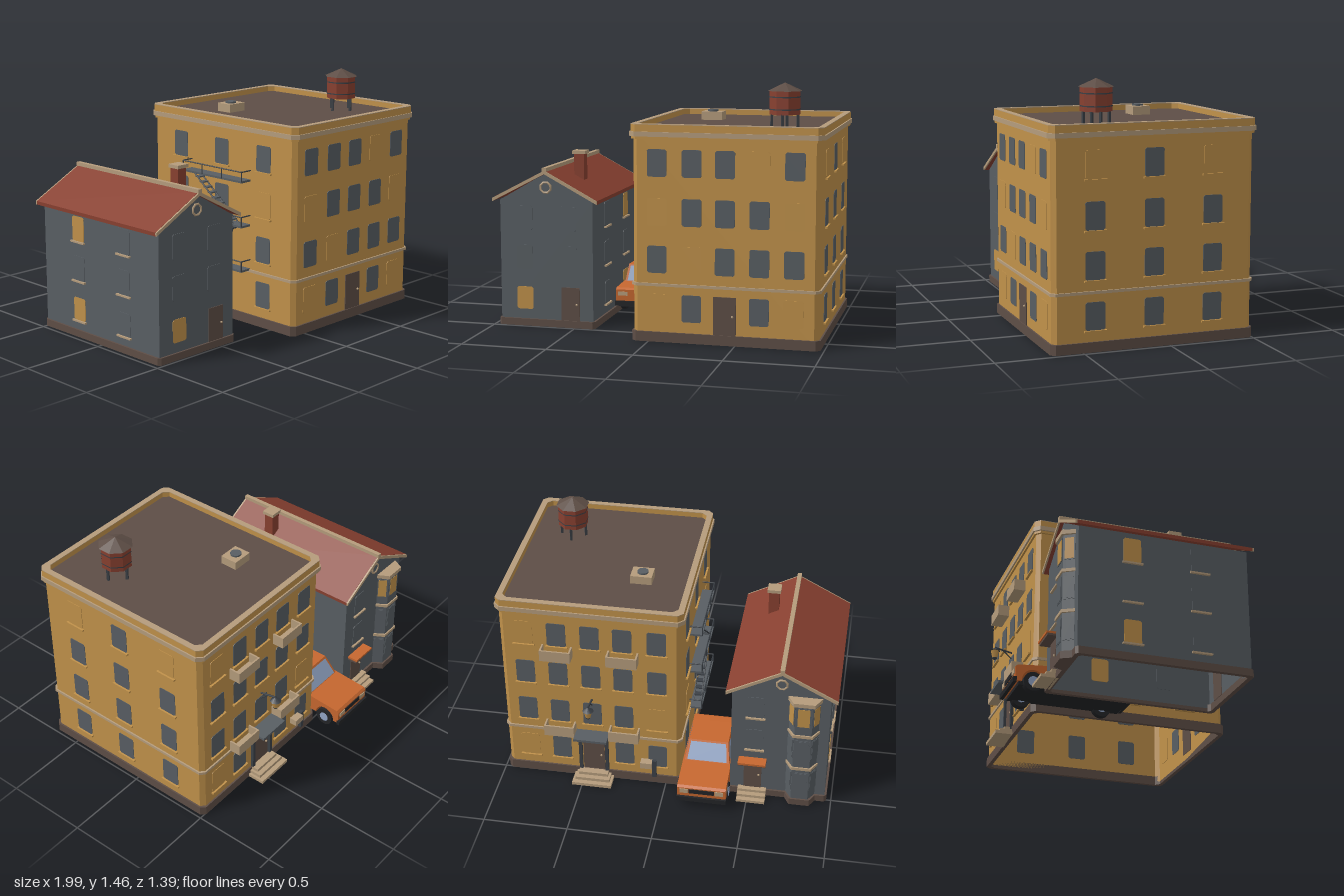
import * as THREE from 'three';

const mat = (name, color) => new THREE.MeshStandardMaterial({ name, color, side: THREE.DoubleSide });
const M = {
  ochre: mat('ochre', 0xc0914a), slate: mat('slate', 0x585e63), brown: mat('brown', 0x5e4e46),
  red: mat('brickRed', 0x884030), stone: mat('stone', 0xb59c7c), orange: mat('orange', 0xc6672f),
  black: mat('black', 0x232427), glass: mat('paleGlass', 0x93a6c6), iron: mat('iron', 0x3c4147),
};

function add(parent, name, geo, m, x = 0, y = 0, z = 0) {
  const mesh = new THREE.Mesh(geo, m);
  mesh.name = name;
  mesh.position.set(x, y, z);
  parent.add(mesh);
  return mesh;
}
const box = (p, name, m, x0, x1, y0, y1, z0, z1) =>
  add(p, name, new THREE.BoxGeometry(x1 - x0, y1 - y0, z1 - z0), m, (x0 + x1) / 2, (y0 + y1) / 2, (z0 + z1) / 2);
const group = (p, name) => { const g = new THREE.Group(); g.name = name; p.add(g); return g; };
const poly = (pts) => new THREE.Shape(pts.map(([a, b]) => new THREE.Vector2(a, b)));
const extrude = (shape, depth) => new THREE.ExtrudeGeometry(shape, { depth, bevelEnabled: false, curveSegments: 10 });

// Round bar between two points
function bar(p, name, m, a, b, r) {
  const A = new THREE.Vector3(...a), B = new THREE.Vector3(...b), d = B.clone().sub(A);
  const mesh = add(p, name, new THREE.CylinderGeometry(r, r, d.length(), 6), m);
  mesh.position.copy(A).add(B).multiplyScalar(0.5);
  mesh.quaternion.setFromUnitVectors(new THREE.Vector3(0, 1, 0), d.normalize());
}

// Horizontal slab, or a ring when t > 0, with chamfered corners
const plan = (x0, x1, z0, z1, c) => [[x0 + c, -z0], [x1 - c, -z0], [x1, -z0 - c], [x1, -z1 + c],
  [x1 - c, -z1], [x0 + c, -z1], [x0, -z1 + c], [x0, -z0 - c]];
function slab(p, name, m, pts, y0, y1, hole) {
  const s = poly(pts);
  if (hole) s.holes.push(poly(hole));
  add(p, name, extrude(s, y1 - y0), m, 0, y0, 0).rotation.x = -Math.PI / 2;
}
function ring(p, name, m, [x0, x1, z0, z1], o, t, y0, y1, c = 0.025) {
  slab(p, name, m, plan(x0 - o, x1 + o, z0 - o, z1 + o, c), y0, y1,
    plan(x0 - o + t, x1 + o - t, z0 - o + t, z1 + o - t, c));
}

// Group lying on one wall: local z points outwards, "along" is world x or z
function onWall(p, name, [x0, x1, z0, z1], side, along) {
  const g = group(p, name);
  if (side === 'front') g.position.set(along, 0, z1);
  if (side === 'back') { g.position.set(along, 0, z0); g.rotation.y = Math.PI; }
  if (side === 'right') { g.position.set(x1, 0, along); g.rotation.y = Math.PI / 2; }
  if (side === 'left') { g.position.set(x0, 0, along); g.rotation.y = -Math.PI / 2; }
  return g;
}
function windowAt(p, rect, side, along, y0, y1, w, m, sill) {
  const g = onWall(p, 'window', rect, side, along), c = 0.009, h = w / 2;
  add(g, 'pane', extrude(poly([[-h + c, y0], [h - c, y0], [h, y0 + c], [h, y1 - c], [h - c, y1],
    [-h + c, y1], [-h, y1 - c], [-h, y0 + c]]), 0.02), m, 0, 0, -0.017);
  if (sill) box(g, 'sill', sill, -h - 0.008, h + 0.008, y0 - 0.01, y0, 0, 0.014);
}
function doorAt(p, rect, side, along, y0, y1, w) {
  const g = onWall(p, 'door', rect, side, along);
  box(g, 'doorLeaf', M.brown, -w / 2, w / 2, y0, y1, -0.017, 0.005);
  add(g, 'doorKnob', new THREE.SphereGeometry(0.007, 8, 6), M.stone, w * 0.35, (y0 + y1) / 2, 0.009);
}

function apartment(root) {
  const g = group(root, 'apartmentBlock'), R = [-0.09, 0.97, -0.497, 0.672];
  ring(g, 'walls', M.ochre, R, 0, 0.014, 0.02, 1.195);
  ring(g, 'plinth', M.brown, R, 0.01, 0.024, 0, 0.057);
  ring(g, 'floorBand', M.stone, R, 0.009, 0.01, 0.32, 0.336);
  ring(g, 'cornice', M.stone, R, 0.022, 0.03, 1.165, 1.192, 0.035);
  ring(g, 'corniceFoot', M.ochre, R, 0.012, 0.02, 1.15, 1.165, 0.03);
  ring(g, 'parapet', M.ochre, R, 0.014, 0.035, 1.192, 1.231, 0.03);
  ring(g, 'coping', M.stone, R, 0.014, 0.035, 1.231, 1.235, 0.03);
  slab(g, 'roof', M.brown, plan(-0.085, 0.965, -0.49, 0.665, 0.025), 1.185, 1.2);
  // Windows: lit ones are listed as row,column
  const rows = [0.12, 0.395, 0.665, 0.94], cols = [0.05, 0.25, 0.44, 0.635, 0.83], zs = [0.43, 0.09, -0.255];
  const lit = { front: ['0,0', '0,4', '1,1', '2,0', '2,4', '3,3'], back: ['0,4', '1,0', '3,4'],
    right: ['3,0', '3,2'], left: ['1,2', '2,0'] };
  for (const side of ['front', 'back', 'right', 'left']) {
    const ends = side === 'front' || side === 'back';
    rows.forEach((y, r) => (ends ? cols : zs).forEach((a, c) => {
      if (ends && r === 0 && c === 2) return doorAt(g, R, side, a, 0.057, 0.275, 0.13);
      windowAt(g, R, side, a, y, y + 0.155, 0.112, lit[side].includes(r + ',' + c) ? M.ochre : M.slate,
        side === 'front' ? null : M.ochre);
    }));
  }
  // Balconies with solid fronts
  for (const x of [0.245, 0.633]) for (const y of [0.33, 0.875]) {
    const b = group(g, 'balcony');
    box(b, 'balconyFloor', M.stone, x - 0.09, x + 0.09, y, y + 0.012, -0.568, -0.49);
    box(b, 'balconyFront', M.stone, x - 0.09, x + 0.09, y, y + 0.07, -0.568, -0.558);
    for (const s of [-1, 1]) box(b, 'balconySide', M.stone, x + s * 0.085 - 0.005, x + s * 0.085 + 0.005, y, y + 0.07, -0.568, -0.49);
  }
  // Rear entrance: canopy, posts, steps and lantern
  box(g, 'canopy', M.slate, 0.34, 0.54, 0.33, 0.345, -0.6, -0.49);
  for (const s of [-1, 1]) box(g, 'doorPost', M.iron, 0.44 + s * 0.08 - 0.01, 0.44 + s * 0.08 + 0.01, 0.04, 0.33, -0.515, -0.49);
  [0.61, 0.58, 0.55].forEach((z, i) => box(g, 'step', M.stone, 0.32 + i * 0.015, 0.56 - i * 0.015, i * 0.019, i * 0.019 + 0.019, -z, -0.49));
  bar(g, 'lanternArm', M.iron, [0.44, 0.575, -0.49], [0.44, 0.6, -0.605], 0.006);
  bar(g, 'lanternBrace', M.iron, [0.44, 0.53, -0.49], [0.44, 0.585, -0.55], 0.004);
  add(g, 'lanternCap', new THREE.ConeGeometry(0.034, 0.025, 8), M.iron, 0.44, 0.588, -0.605);
  add(g, 'lanternGlass', new THREE.CylinderGeometry(0.026, 0.016, 0.045, 6), M.ochre, 0.44, 0.553, -0.605);
  add(g, 'lanternBase', new THREE.CylinderGeometry(0.016, 0.012, 0.01, 6), M.iron, 0.44, 0.526, -0.605);
  // Small wall box
  box(g, 'wallBox', M.stone, 0.08, 0.15, 0.13, 0.17, -0.545, -0.49);
  box(g, 'wallBoxBracket', M.iron, 0.055, 0.08, 0.06, 0.18, -0.53, -0.51);
  // Fire escape: platforms, railings and flights
  const f = group(g, 'fireEscape'), px = -0.165;
  [0.335, 0.605, 0.875].forEach((y, i) => {
    box(f, 'platform', M.slate, px, -0.085, y - 0.006, y + 0.006, -0.165, 0.325);
    bar(f, 'handrail', M.iron, [px, y + 0.06, -0.165], [px, y + 0.06, 0.325], 0.004);
    for (const z of [-0.165, -0.0017, 0.1617, 0.325]) bar(f, 'railPost', M.iron, [px, y, z], [px, y + 0.06, z], 0.004);
    for (const z of [-0.165, 0.325]) bar(f, 'endRail', M.iron, [px, y + 0.06, z], [-0.09, y + 0.06, z], 0.004);
    if (i === 2) return;
    const s = i ? -1 : 1;
    for (const x of [-0.15, -0.105]) bar(f, 'stringer', M.iron, [x, y, 0.08 - s * 0.17], [x, y + 0.27, 0.08 + s * 0.17], 0.005);
    for (let k = 1; k < 10; k++) {
      const z = 0.08 + s * (-0.17 + k * 0.034);
      box(f, 'tread', i ? M.slate : M.iron, -0.15, -0.105, y + k * 0.027 - 0.004, y + k * 0.027 + 0.004, z - 0.016, z + 0.016);
    }
  });
  // Roof vent and water tank
  box(g, 'ventBase', M.stone, 0.135, 0.262, 1.2, 1.25, -0.168, -0.062);
  add(g, 'ventFan', new THREE.CylinderGeometry(0.033, 0.033, 0.012, 12), M.slate, 0.195, 1.254, -0.115);
  const t = group(g, 'waterTank');
  t.position.set(0.71, 0, 0.33);
  t.rotation.y = Math.PI / 8;
  add(t, 'tankBody', new THREE.CylinderGeometry(0.09, 0.09, 0.135, 8).toNonIndexed(), M.red, 0, 1.343, 0).geometry.computeVertexNormals();
  const cone = add(t, 'tankRoof', new THREE.ConeGeometry(0.101, 0.047, 8).toNonIndexed(), M.brown, 0, 1.432, 0);
  cone.geometry.computeVertexNormals();
  for (const y of [1.305, 1.375]) add(t, 'tankHoop', new THREE.CylinderGeometry(0.092, 0.092, 0.007, 8, 1, true), M.iron, 0, y, 0);
  for (let i = 0; i < 4; i++) {
    const a = Math.PI / 8 + i * Math.PI / 2;
    box(t, 'tankLeg', M.iron, -0.007, 0.007, 1.195, 1.28, -0.007, 0.007).position.set(0.075 * Math.cos(a), 1.2375, 0.075 * Math.sin(a));
  }
}

function house(root) {
  const g = group(root, 'house'), R = [-0.96, -0.39, -0.505, 0.475], cx = -0.675;
  const gable = [[-0.96, 0.02], [-0.39, 0.02], [-0.39, 0.75], [cx, 0.915], [-0.96, 0.75]];
  for (const z of [-0.505, 0.461]) add(g, 'gableWall', extrude(poly(gable), 0.014), M.slate, 0, 0, z);
  for (const x of [-0.96, -0.404]) box(g, 'sideWall', M.slate, x, x + 0.014, 0.02, 0.752, -0.5, 0.47);
  ring(g, 'plinth', M.brown, R, 0.012, 0.026, 0, 0.042, 0.015);
  // Roof, verges and ridge
  const roofShape = (t) => poly([[-1, 0.742], [cx, 0.93 - 0.018], [-0.355, 0.742], [-0.355, 0.742 + t], [cx, 0.912 + t], [-1, 0.742 + t]]);
  add(g, 'roof', extrude(roofShape(0.021), 1.02), M.red, 0, 0, -0.525);
  for (const z of [-0.535, 0.495]) add(g, 'verge', extrude(roofShape(0.02), 0.01), M.stone, 0, 0, z);
  box(g, 'ridgeCap', M.stone, cx - 0.013, cx + 0.013, 0.922, 0.948, -0.535, 0.505);
  box(g, 'chimney', M.red, -0.58, -0.518, 0.83, 1.005, 0.168, 0.23);
  box(g, 'chimneyCap', M.stone, -0.589, -0.508, 1.005, 1.025, 0.16, 0.238);
  // Round gable windows
  for (const side of ['front', 'back']) {
    const w = onWall(g, 'roundWindow', R, side, cx);
    add(w, 'roundFrame', new THREE.TorusGeometry(0.032, 0.007, 6, 8), M.stone, 0, 0.83, 0.003).rotation.z = Math.PI / 8;
    add(w, 'roundPane', new THREE.CylinderGeometry(0.03, 0.03, 0.008, 8), M.slate, 0, 0.83, 0).rotation.x = Math.PI / 2;
  }
  // Windows and doors
  const rows = [0.1, 0.34, 0.575];
  rows.forEach((y, r) => {
    const h = r ? 0.145 : 0.135;
    windowAt(g, R, 'front', -0.81, y, y + h, 0.1, r ? M.slate : M.ochre);
    if (r) {
      windowAt(g, R, 'front', -0.54, y, y + h, 0.1, M.slate);
      windowAt(g, R, 'back', -0.53, y, y + h, 0.1, M.slate, M.stone);
    }
    for (const side of ['left', 'right']) [-0.2, 0.19].forEach((z, c) =>
      windowAt(g, R, side, z, y, y + h, 0.1, r !== 1 && c === 0 ? M.ochre : M.slate, M.stone));
  });
  doorAt(g, R, 'front', -0.528, 0.04, 0.24, 0.112);
  doorAt(g, R, 'back', -0.525, 0.05, 0.25, 0.105);
  box(g, 'doorCanopy', M.orange, -0.605, -0.44, 0.262, 0.275, -0.572, -0.5);
  box(g, 'canopyEdge', M.brown, -0.605, -0.44, 0.25, 0.262, -0.565, -0.5);
  [0.6, 0.57, 0.54].forEach((z, i) => box(g, 'step', M.stone, -0.61, -0.44, i * 0.017, i * 0.017 + 0.017, -z, -0.5));
  // Bay window tower
  const b = group(g, 'bayWindow'), bay = (o) => [[-0.902 - o, 0.5], [-0.862 - o, 0.562 + o], [-0.762 + o, 0.562 + o], [-0.722 + o, 0.5]];
  slab(b, 'bayWall', M.slate, bay(0), 0.04, 0.73);
  slab(b, 'bayPlinth', M.brown, bay(0.01), 0, 0.042);
  slab(b, 'bayRoof', M.stone, bay(0.012), 0.73, 0.755);
  for (const y of [0.265, 0.505]) slab(b, 'bayBand', M.stone, bay(0.008), y, y + 0.018);
  const c = bay(0);
  for (let i = 0; i < 3; i++) rows.forEach((y, r) => {
    const [x0, z0] = c[i], [x1, z1] = c[i + 1], len = Math.hypot(x1 - x0, z1 - z0);
    const y0 = y + 0.01, y1 = y + 0.135, w = len * 0.7;
    const p = group(b, 'bayLight');
    p.position.set((x0 + x1) / 2, (y0 + y1) / 2, -(z0 + z1) / 2);
    p.rotation.y = Math.atan2(z1 - z0, x1 - x0);
    add(p, 'bayFrame', new THREE.BoxGeometry(w + 0.012, y1 - y0 + 0.012, 0.006), M.slate);
    add(p, 'bayPane', new THREE.BoxGeometry(w, y1 - y0, 0.01), r === 2 ? M.ochre : M.slate);
  });
}

function car(root) {
  const g = group(root, 'car');
  g.position.x = -0.243;
  // Lower body with wheel arches, drawn as (z, y)
  const s = new THREE.Shape();
  s.moveTo(-0.68, 0.055);
  s.lineTo(-0.645, 0.055);
  s.absarc(-0.58, 0.06, 0.065, Math.PI, 0, true);
  s.lineTo(-0.165, 0.055);
  s.absarc(-0.1, 0.06, 0.065, Math.PI, 0, true);
  [[0.015, 0.055], [0.018, 0.145], [0, 0.155], [-0.155, 0.163], [-0.46, 0.163], [-0.67, 0.147], [-0.683, 0.135]].forEach((p) => s.lineTo(...p));
  add(g, 'body', extrude(s, 0.29), M.orange, 0.145).rotation.y = -Math.PI / 2;
  box(g, 'underside', M.black, -0.13, 0.13, 0.035, 0.057, -0.66, 0);
  // Cabin narrowing towards the roof
  const cab = extrude(poly([[-0.46, 0.16], [-0.155, 0.16], [-0.19, 0.268], [-0.385, 0.268]]), 0.27);
  cab.translate(0, 0, -0.135).rotateY(-Math.PI / 2);
  const p = cab.attributes.position;
  for (let i = 0; i < p.count; i++) if (p.getY(i) > 0.2) p.setX(i, p.getX(i) * 0.88);
  cab.computeVertexNormals();
  add(g, 'cabin', cab, M.orange);
  const pane = (name, q) => {
    const geo = new THREE.BufferGeometry();
    geo.setAttribute('position', new THREE.Float32BufferAttribute(q.flat(), 3));
    geo.setIndex([0, 1, 2, 0, 2, 3]);
    geo.computeVertexNormals();
    add(g, name, geo, M.glass);
  };
  pane('rearGlass', [[-0.12, 0.168, -0.154], [0.12, 0.168, -0.154], [0.106, 0.26, -0.184], [-0.106, 0.26, -0.184]]);
  pane('windscreen', [[0.12, 0.168, -0.458], [-0.12, 0.168, -0.458], [-0.106, 0.26, -0.394], [0.106, 0.26, -0.394]]);
  for (const k of [-1, 1]) {
    for (const [a, b, c, d] of [[-0.435, -0.32, -0.32, -0.38], [-0.305, -0.185, -0.21, -0.305]]) {
      const q = [[k * 0.136, 0.172, a], [k * 0.136, 0.172, b], [k * 0.1235, 0.256, c], [k * 0.1235, 0.256, d]];
      pane('sideGlass', k > 0 ? q.reverse() : q);
    }
    // Lamps and wheels
    box(g, 'tailLamp', M.stone, k * 0.1 - 0.03, k * 0.1 + 0.03, 0.108, 0.132, 0.014, 0.021);
    box(g, 'headLamp', M.stone, k * 0.105 - 0.025, k * 0.105 + 0.025, 0.1, 0.128, -0.688, -0.68);
    for (const z of [-0.58, -0.1]) {
      add(g, 'tyre', new THREE.CylinderGeometry(0.056, 0.056, 0.045, 20), M.black, k * 0.128, 0.056, z).rotation.z = Math.PI / 2;
      add(g, 'hub', new THREE.CylinderGeometry(0.03, 0.03, 0.05, 12), M.glass, k * 0.128, 0.056, z).rotation.z = Math.PI / 2;
    }
  }
  box(g, 'grille', M.black, -0.075, 0.075, 0.1, 0.128, -0.687, -0.68);
  box(g, 'frontBumper', M.black, -0.148, 0.148, 0.045, 0.075, -0.695, -0.675);
  box(g, 'rearBumper', M.black, -0.148, 0.148, 0.045, 0.075, 0.01, 0.028);
}

export function createModel() {
  const root = new THREE.Group();
  root.name = 'streetCorner';
  apartment(root);
  house(root);
  car(root);
  return root;
}
